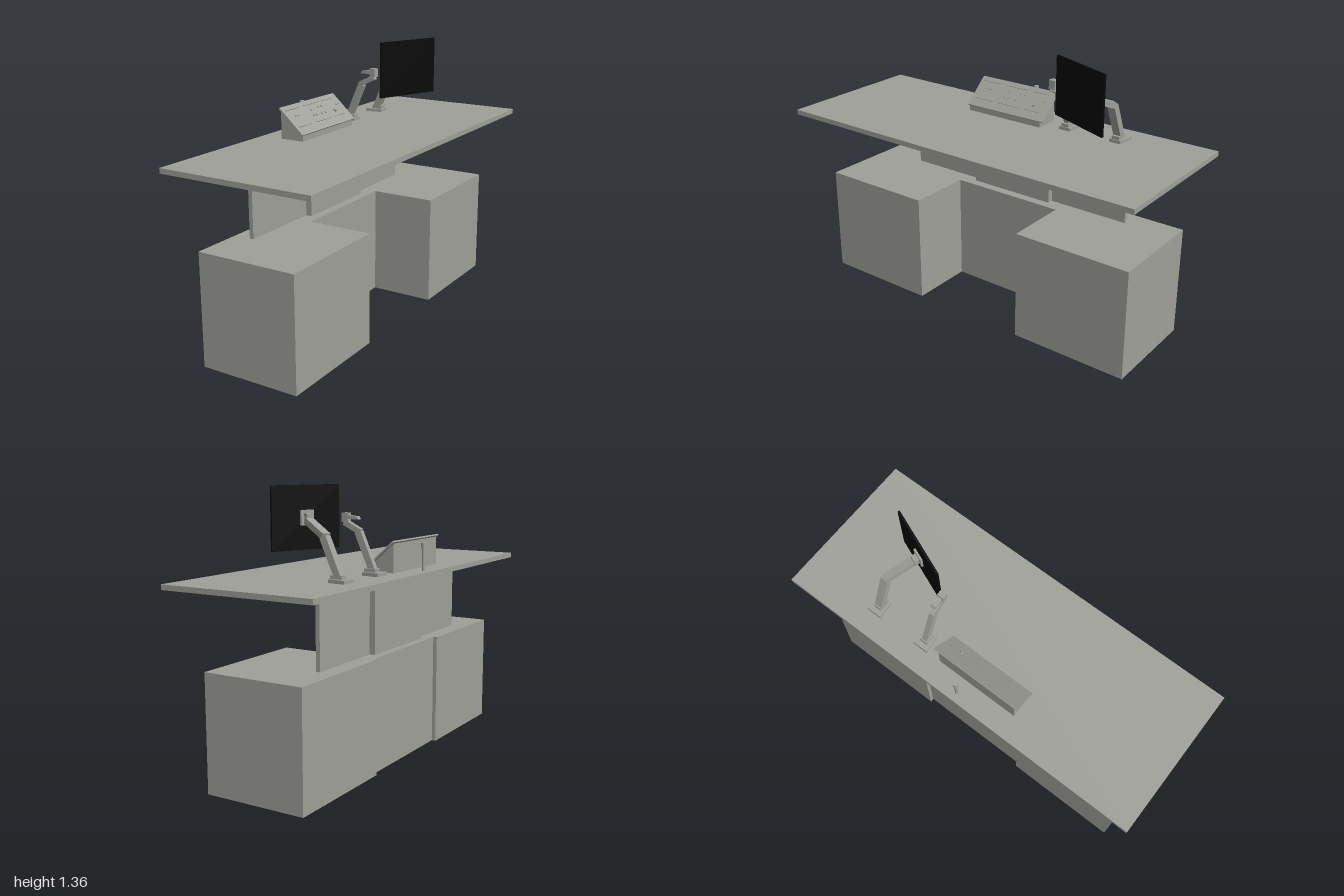
import * as THREE from 'three';

const grey = new THREE.MeshStandardMaterial({ color: 0xa0a09a });
grey.name = 'warm grey';
const black = new THREE.MeshStandardMaterial({ color: 0x070707 });
black.name = 'screen black';

function add(parent, name, geometry, material = grey) {
  const mesh = new THREE.Mesh(geometry, material);
  mesh.name = name;
  parent.add(mesh);
  return mesh;
}

// Box given by its limits on each axis
function box(parent, name, [x0, x1], [y0, y1], [z0, z1]) {
  const mesh = add(parent, name, new THREE.BoxGeometry(x1 - x0, y1 - y0, z1 - z0));
  mesh.position.set((x0 + x1) / 2, (y0 + y1) / 2, (z0 + z1) / 2);
  return mesh;
}

// Rectangular bar running between two points
function beam(parent, name, a, b, width, thickness) {
  const from = new THREE.Vector3(...a), to = new THREE.Vector3(...b);
  const mesh = add(parent, name, new THREE.BoxGeometry(width, thickness, from.distanceTo(to)));
  mesh.position.copy(from).add(to).multiplyScalar(0.5);
  mesh.lookAt(to);
  return mesh;
}

// Outline in x and y, extruded along z
function prism(points, depth) {
  const shape = new THREE.Shape(points.map(p => new THREE.Vector2(...p)));
  return new THREE.ExtrudeGeometry(shape, { depth, bevelEnabled: false });
}

// Tapered foot, socket and lower bar shared by both arms
function armStand(parent, z, width) {
  const foot = add(parent, 'armFoot', prism([[-0.285, -0.042], [-0.195, -0.031], [-0.195, 0.031], [-0.285, 0.042]], 0.016));
  foot.rotation.x = -Math.PI / 2;
  foot.position.set(0, 0.945, z);
  box(parent, 'armSocket', [-0.257, -0.2], [0.96, 0.978], [z - 0.02, z + 0.02]);
  beam(parent, 'lowerArm', [-0.238, 0.965, z], [-0.16, 1.142, z], width, 0.034);
}

export function createModel() {
  const model = new THREE.Group();
  model.name = 'controlDesk';

  // Table top and its support
  box(model, 'tableTop', [-0.395, 0.393], [0.92, 0.945], [-1, 1]);
  box(model, 'supportPlate', [-0.248, -0.025], [0.893, 0.92], [-0.555, 0.555]);
  box(model, 'middleColumn', [-0.22, -0.14], [0.56, 0.893], [-0.233, 0.235]);
  box(model, 'wingPanelLeft', [-0.192, -0.171], [0.56, 0.893], [0.235, 0.657]);
  box(model, 'wingPanelRight', [-0.192, -0.171], [0.56, 0.893], [-0.655, -0.233]);

  // Base cabinets with a shallower one between
  box(model, 'cabinetFront', [-0.276, 0.24], [0, 0.56], [0.307, 0.913]);
  box(model, 'cabinetRear', [-0.276, 0.24], [0, 0.56], [-0.913, -0.307]);
  box(model, 'middleCabinet', [-0.256, -0.094], [0, 0.56], [-0.307, 0.307]);

  // Sloped control console
  const consoleGroup = new THREE.Group();
  consoleGroup.name = 'console';
  model.add(consoleGroup);
  const body = add(consoleGroup, 'consoleBody',
    prism([[-0.278, 0.945], [-0.152, 0.945], [-0.152, 0.974], [-0.278, 1.086]], 0.44));
  body.position.z = -0.16;

  const panel = new THREE.Group();
  panel.name = 'controlPanel';
  panel.position.set(-0.217, 1.035, 0.054);
  panel.rotation.z = -0.735;
  consoleGroup.add(panel);
  box(panel, 'panelPlate', [-0.09, 0.09], [-0.004, 0.004], [-0.234, 0.234]);

  // Slots and buttons: offset down the slope, centre and length along the desk
  const slots = [
    [-0.065, 0.158, 0.108], [0.042, 0.158, 0.108], [0.042, -0.002, 0.13],
    [-0.065, -0.002, 0.13], [-0.065, -0.145, 0.09], [0.042, -0.145, 0.09], [-0.022, 0.158, 0.04], [-0.022, -0.19, 0.025],
  ];
  for (const [s, z, length] of slots)
    box(panel, 'slot', [s - 0.003, s + 0.003], [0.003, 0.007], [z - length / 2, z + length / 2]);
  for (const [s, z] of [[-0.03, 0.035], [-0.035, -0.035], [-0.035, -0.062], [0.005, 0.045], [0.005, 0.022], [0.005, -0.025], [0.005, -0.055]])
    box(panel, 'button', [s - 0.004, s + 0.004], [0.003, 0.009], [z - 0.004, z + 0.004]);
  const knob = add(panel, 'knob', new THREE.CylinderGeometry(0.009, 0.009, 0.01, 16));
  knob.position.set(0.01, 0.008, -0.137);

  // Small post behind the console
  const post = new THREE.Group();
  post.name = 'post';
  post.position.set(-0.352, 0, 0);
  model.add(post);
  add(post, 'postStem', new THREE.CylinderGeometry(0.007, 0.007, 0.11, 20)).position.y = 1.0;
  add(post, 'postHead', new THREE.CylinderGeometry(0.0125, 0.0125, 0.026, 20)).position.y = 1.067;

  // Short arm carrying a small head
  const shortArm = new THREE.Group();
  shortArm.name = 'shortArm';
  model.add(shortArm);
  armStand(shortArm, -0.277, 0.027);
  beam(shortArm, 'upperArm', [-0.17, 1.143, -0.277], [-0.085, 1.185, -0.277], 0.027, 0.026);
  box(shortArm, 'headBlock', [-0.107, -0.076], [1.185, 1.229], [-0.294, -0.26]);
  const wing = add(shortArm, 'headWing',
    prism([[-0.163, 1.2], [-0.105, 1.2], [-0.105, 1.218], [-0.155, 1.213]], 0.026));
  wing.position.z = -0.29;

  // Long arm carrying the monitor
  const monitorArm = new THREE.Group();
  monitorArm.name = 'monitorArm';
  model.add(monitorArm);
  armStand(monitorArm, -0.562, 0.04);
  beam(monitorArm, 'upperArm', [-0.168, 1.142, -0.564], [-0.025, 1.203, -0.492], 0.038, 0.03);

  const monitor = new THREE.Group();
  monitor.name = 'monitor';
  monitor.position.set(-0.002, 1.215, -0.478);
  monitor.rotation.y = 1.188;
  model.add(monitor);
  add(monitor, 'screen', new THREE.BoxGeometry(0.362, 0.29, 0.011), black);
  box(monitor, 'mountPlate', [-0.034, 0.034], [-0.034, 0.034], [-0.016, -0.005]);
  box(monitor, 'mountBlock', [-0.018, 0.018], [-0.022, 0.018], [-0.04, -0.014]);

  return model;
}
